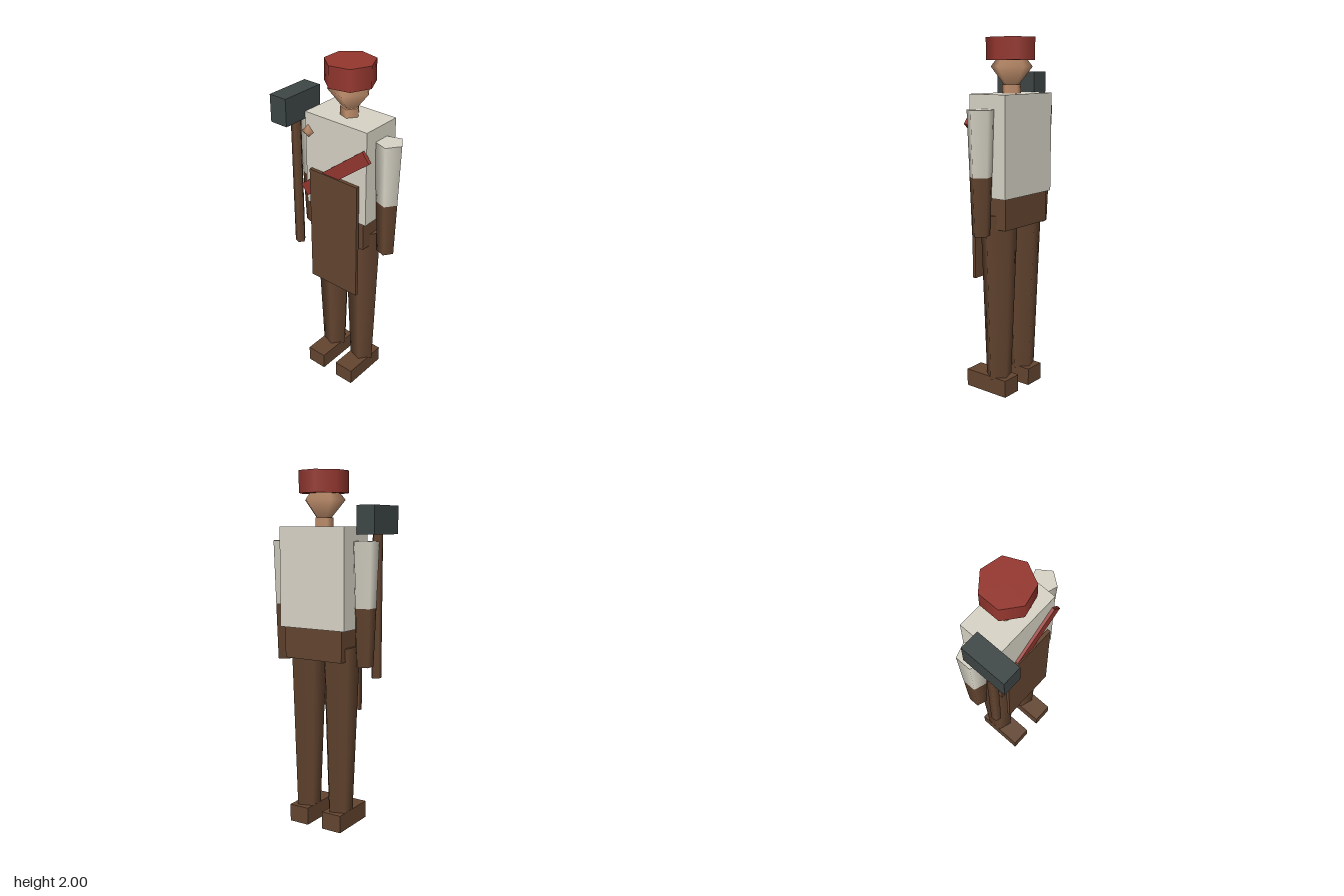
import * as THREE from 'three';

const material = (name, color) => {
  const m = new THREE.MeshStandardMaterial({ color });
  m.name = name;
  return m;
};

export function createModel() {
  const group = new THREE.Group();
  group.name = 'smith';
  const cream = material('cream linen', 0xd9d5c7);
  const red = material('red cloth', 0x96372f);
  const brown = material('brown leather', 0x644530);
  const skin = material('skin', 0xc4926f);
  const iron = material('dark iron', 0x3e4646);

  // Body axis
  const X = -0.009, Z = -0.067;

  const add = (name, geometry, mat, x, y, z) => {
    const mesh = new THREE.Mesh(geometry, mat);
    mesh.name = name;
    mesh.position.set(x, y, z);
    group.add(mesh);
    return mesh;
  };
  const box = (name, mat, w, h, d, x, y, z) =>
    add(name, new THREE.BoxGeometry(w, h, d), mat, x, y, z);
  // Tapered prism from y0 to y1 with one corner towards +x
  const prism = (name, mat, rTop, rBottom, y0, y1, x, z, sides = 5) =>
    add(name, new THREE.CylinderGeometry(rTop, rBottom, y1 - y0, sides).rotateY(Math.PI / 2),
      mat, x, (y0 + y1) / 2, z);
  // Five-sided double cone with one corner towards +x
  const gem = (name, r, ry, x, y, z) =>
    add(name, new THREE.SphereGeometry(r, 5, 2).rotateY(Math.PI).scale(1, ry / r, 1), skin, x, y, z);

  // Torso and hips
  box('torso', cream, 0.418, 0.552, 0.243, X, 1.426, Z);
  box('hips', brown, 0.37, 0.175, 0.216, X, 1.0625, Z);

  // Limbs
  for (const [side, s] of [['left', 1], ['right', -1]]) {
    const arm = X + s * 0.2645, leg = X + s * 0.11;
    prism(side + 'Sleeve', cream, 0.077, 0.0635, 1.27, 1.625, arm, Z);
    prism(side + 'Forearm', brown, 0.0635, 0.051, 0.95, 1.27, arm, Z);
    prism(side + 'Leg', brown, 0.11, 0.074, 0.09, 1.05, leg, Z);
    box(side + 'Boot', brown, 0.122, 0.1, 0.282, leg, 0.05, -0.02);
  }

  // Head and cap
  prism('neck', skin, 0.054, 0.054, 1.69, 1.75, X, Z);
  gem('head', 0.121, 0.15, X, 1.845, Z);
  prism('cap', red, 0.139, 0.139, 1.88, 2, X, Z, 7);

  // Apron, sash and shoulder knob
  box('apron', brown, 0.332, 0.715, 0.02, X, 1.0235, 0.068);
  box('sash', red, 0.55, 0.074, 0.02, X, 1.4, 0.061).rotation.z = 0.67;
  gem('knob', 0.038, 0.038, -0.198, 1.595, 0.053);

  // Hammer
  prism('hammerHandle', brown, 0.03, 0.03, 0.865, 1.67, -0.2735, 0.066);
  box('hammerHead', iron, 0.11, 0.155, 0.266, -0.2735, 1.738, 0.066);

  return group;
}
